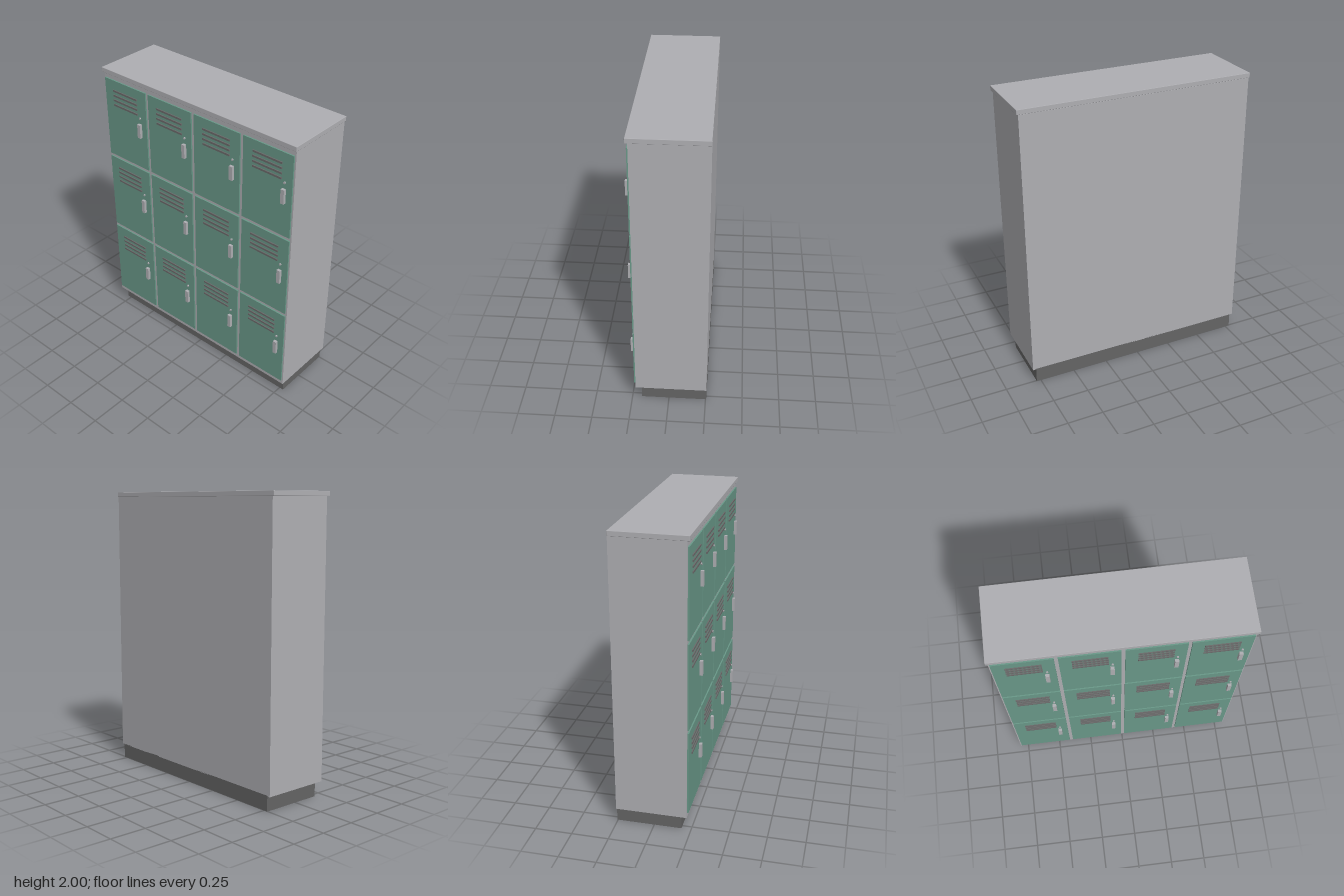
import * as THREE from 'three';
import { RoundedBoxGeometry } from 'three/addons/geometries/RoundedBoxGeometry.js';

export function createModel() {
  const material = (name, color) => {
    const m = new THREE.MeshStandardMaterial({ color });
    m.name = name;
    return m;
  };
  const bodyGrey = material('body grey', 0xaeaeb2);
  const doorGreen = material('door green', 0x699888);
  const ventGrey = material('vent grey', 0x6a6a6a);
  const baseGrey = material('base grey', 0x646464);

  const add = (parent, name, geometry, mat, x, y, z) => {
    const mesh = new THREE.Mesh(geometry, mat);
    mesh.name = name;
    mesh.position.set(x, y, z);
    parent.add(mesh);
    return mesh;
  };
  const box = (w, h, d) => new THREE.BoxGeometry(w, h, d);

  const model = new THREE.Group();
  model.name = 'lockerBlock';

  // Recessed plinth, cabinet and overhanging top, all flush at the back
  add(model, 'base', box(1.56, 0.105, 0.44), baseGrey, 0, 0.0525, -0.035);
  add(model, 'cabinet', box(1.604, 1.867, 0.48), bodyGrey, 0, 1.0335, -0.015);
  add(model, 'topPanel', new RoundedBoxGeometry(1.624, 0.033, 0.497, 1, 0.003), bodyGrey, 0, 1.9835, -0.0065);

  // Shared door parts
  const panel = box(0.378, 0.583, 0.01);
  const vent = box(0.222, 0.013, 0.008);
  const handle = box(0.026, 0.1, 0.02);
  const lock = new THREE.CylinderGeometry(0.0075, 0.0075, 0.008, 12).rotateX(Math.PI / 2);

  // Four columns by three rows of doors
  for (let row = 0; row < 3; row++) {
    for (let col = 0; col < 4; col++) {
      const door = new THREE.Group();
      door.name = 'door';
      door.position.set((col - 1.5) * 0.402, 0.426 + row * 0.606, 0.225);
      model.add(door);

      add(door, 'doorPanel', panel, doorGreen, 0, 0, 0.005);
      for (let i = 0; i < 4; i++) {
        add(door, 'ventSlat', vent, ventGrey, 0, 0.218 - i * 0.035, 0.013);
      }
      add(door, 'lock', lock, bodyGrey, 0.134, 0.092, 0.014);
      add(door, 'handle', handle, bodyGrey, 0.132, -0.001, 0.02);
    }
  }
  return model;
}
